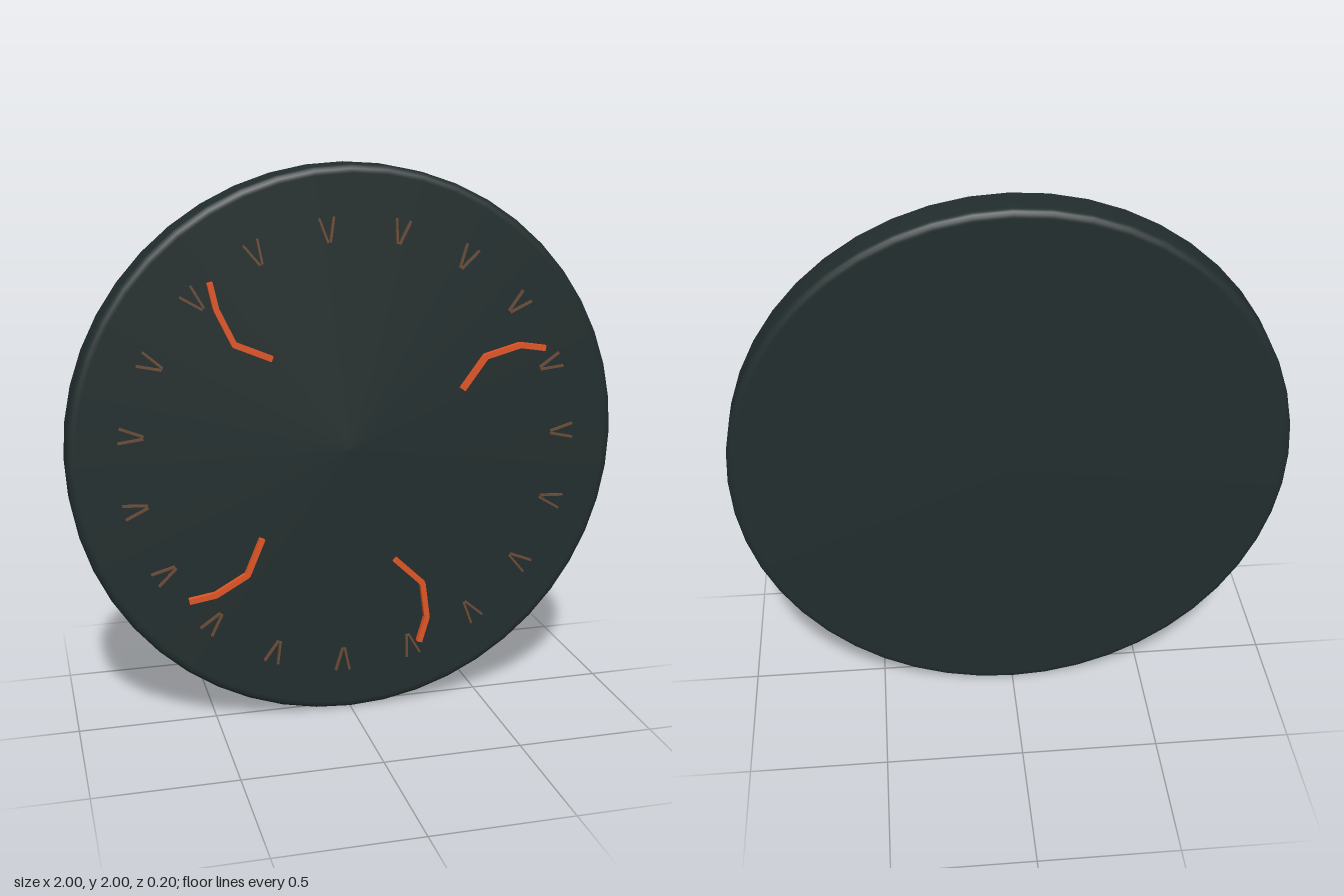
import * as THREE from 'three';

const stone = new THREE.MeshStandardMaterial({ color: 0x222d2d });
stone.name = 'dark stone';
const ember = new THREE.MeshStandardMaterial({ color: 0xde5424 });
ember.name = 'ember orange';
const bronze = new THREE.MeshStandardMaterial({ color: 0x6a4a36 });
bronze.name = 'dull bronze';

const BACK = -0.1, FRONT = 0.055, BEVEL = 0.025;

// Square bar between two points of the dial face
function bar(a, b, width, depth, z, material, name) {
  const dx = b[0] - a[0], dy = b[1] - a[1];
  const mesh = new THREE.Mesh(new THREE.BoxGeometry(Math.hypot(dx, dy), width, depth), material);
  mesh.position.set((a[0] + b[0]) / 2, (a[1] + b[1]) / 2, z);
  mesh.rotation.z = Math.atan2(dy, dx);
  mesh.name = name;
  return mesh;
}

export function createModel() {
  const model = new THREE.Group();
  model.name = 'runeDisc';

  // Disc with rounded rims
  const profile = [new THREE.Vector2(0, BACK), new THREE.Vector2(0.97, BACK)];
  for (const [centre, start] of [[BACK + BEVEL, -Math.PI / 2], [FRONT - BEVEL, 0]]) {
    for (let i = 0; i <= 4; i++) {
      const t = start + (i / 4) * (Math.PI / 2);
      profile.push(new THREE.Vector2(1 - BEVEL + BEVEL * Math.cos(t), centre + BEVEL * Math.sin(t)));
    }
  }
  profile.push(new THREE.Vector2(0.97, FRONT), new THREE.Vector2(0, FRONT));
  const disc = new THREE.Mesh(new THREE.LatheGeometry(profile, 48).rotateX(Math.PI / 2), stone);
  disc.name = 'disc';
  disc.position.y = 1;
  model.add(disc);

  // Ring of V marks pointing to the centre
  const marks = new THREE.Group();
  marks.name = 'markRing';
  marks.position.y = 1;
  const count = 19;
  for (let i = 0; i < count; i++) {
    const mark = new THREE.Group();
    mark.name = 'mark' + (i + 1);
    mark.rotation.z = 0.033 + (i / count) * Math.PI * 2;
    for (const side of [-1, 1]) {
      mark.add(bar([0.745, side * 0.004], [0.83, side * 0.026], 0.008, 0.01, 0.085, bronze, 'markStroke'));
    }
    marks.add(mark);
  }
  model.add(marks);

  // Glowing cracks as bent bars
  const cracks = [
    [[-0.5, 1.62], [-0.48, 1.53], [-0.42, 1.405], [-0.29, 1.35]],
    [[0.4, 1.205], [0.485, 1.32], [0.615, 1.355], [0.71, 1.34]],
    [[-0.335, 0.705], [-0.39, 0.575], [-0.505, 0.51], [-0.6, 0.495]],
    [[0.155, 0.585], [0.26, 0.485], [0.278, 0.35], [0.25, 0.255]],
  ];
  cracks.forEach((path, n) => {
    const crack = new THREE.Group();
    crack.name = 'crack' + (n + 1);
    for (let i = 0; i < path.length - 1; i++) {
      crack.add(bar(path[i], path[i + 1], 0.02, 0.02, 0.09, ember, 'crackSegment'));
    }
    // Round joints between segments
    for (const [x, y] of path.slice(1, -1)) {
      const joint = new THREE.Mesh(new THREE.CylinderGeometry(0.01, 0.01, 0.02, 8).rotateX(Math.PI / 2), ember);
      joint.position.set(x, y, 0.09);
      joint.name = 'crackJoint';
      crack.add(joint);
    }
    model.add(crack);
  });

  return model;
}
